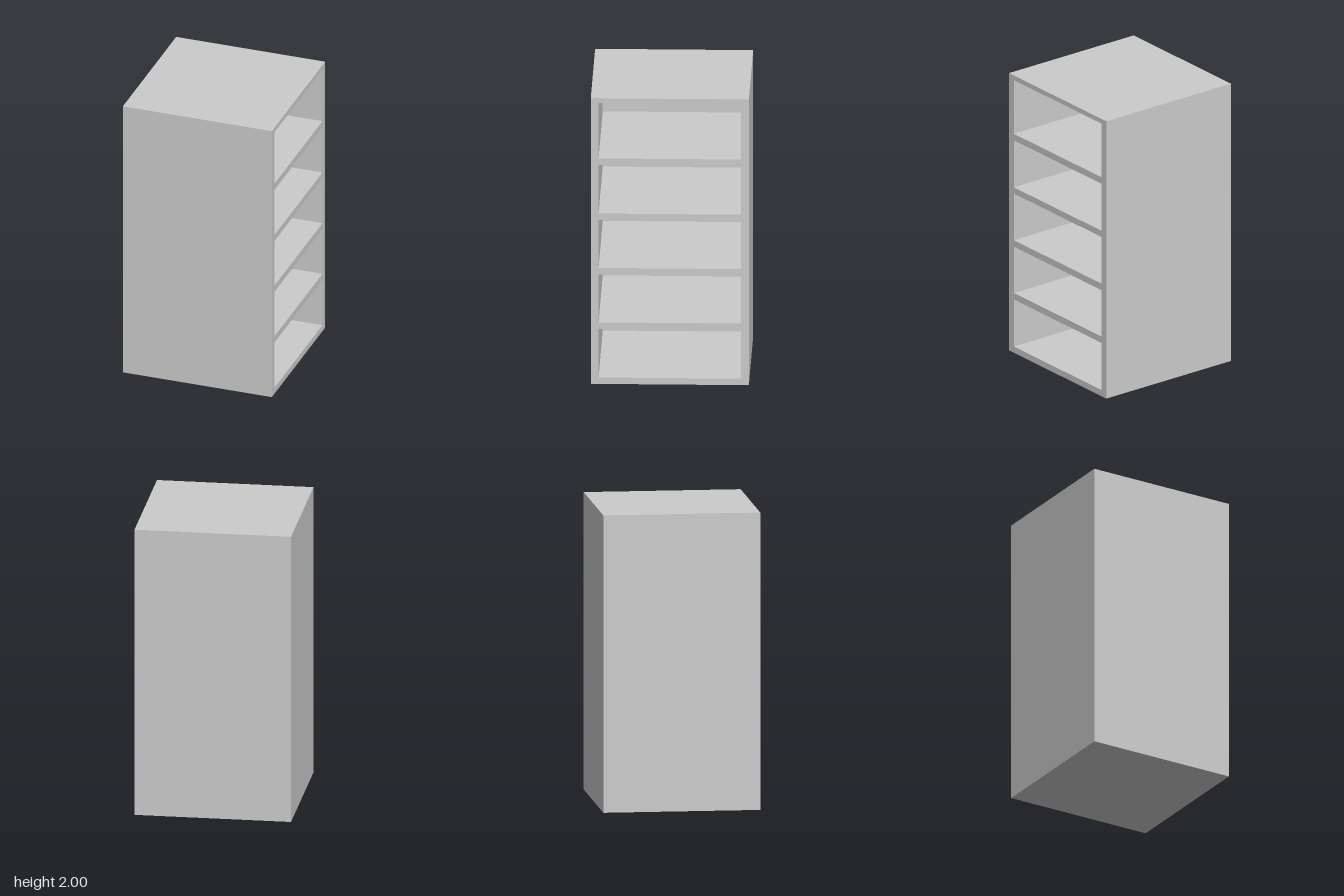
import * as THREE from 'three';

const HALF = 0.526;   // half width and half depth of the cabinet
const HEIGHT = 2;
const INNER = 0.474;  // half width of each compartment
const BACK = 0.05;    // thickness of the closed wall at -x

// Bottom and top height of each open compartment
const BAYS = [[0.045, 0.384], [0.431, 0.765], [0.812, 1.148], [1.193, 1.532], [1.579, 1.966]];

function rectangle(path, halfWidth, bottom, top) {
  path.moveTo(-halfWidth, bottom);
  path.lineTo(halfWidth, bottom);
  path.lineTo(halfWidth, top);
  path.lineTo(-halfWidth, top);
  path.closePath();
  return path;
}

export function createModel() {
  const group = new THREE.Group();
  group.name = 'shelfCabinet';
  const material = new THREE.MeshStandardMaterial({ color: 0xcccccc });

  // Carcass: outer walls, top, bottom and shelves in one piece, open toward +x
  const outline = rectangle(new THREE.Shape(), HALF, 0, HEIGHT);
  outline.holes = BAYS.map(([bottom, top]) => rectangle(new THREE.Path(), INNER, bottom, top));
  const carcassGeometry = new THREE.ExtrudeGeometry(outline, { depth: 2 * HALF, bevelEnabled: false });
  carcassGeometry.translate(0, 0, -HALF);
  carcassGeometry.rotateY(Math.PI / 2);
  const carcass = new THREE.Mesh(carcassGeometry, material);
  carcass.name = 'carcass';
  group.add(carcass);

  // Back panels close each compartment flush with the -x side
  BAYS.forEach(([bottom, top], i) => {
    const panel = new THREE.Mesh(new THREE.BoxGeometry(BACK, top - bottom, 2 * INNER), material);
    panel.position.set(-HALF + BACK / 2, (bottom + top) / 2, 0);
    panel.name = `backPanel${i + 1}`;
    group.add(panel);
  });

  return group;
}
